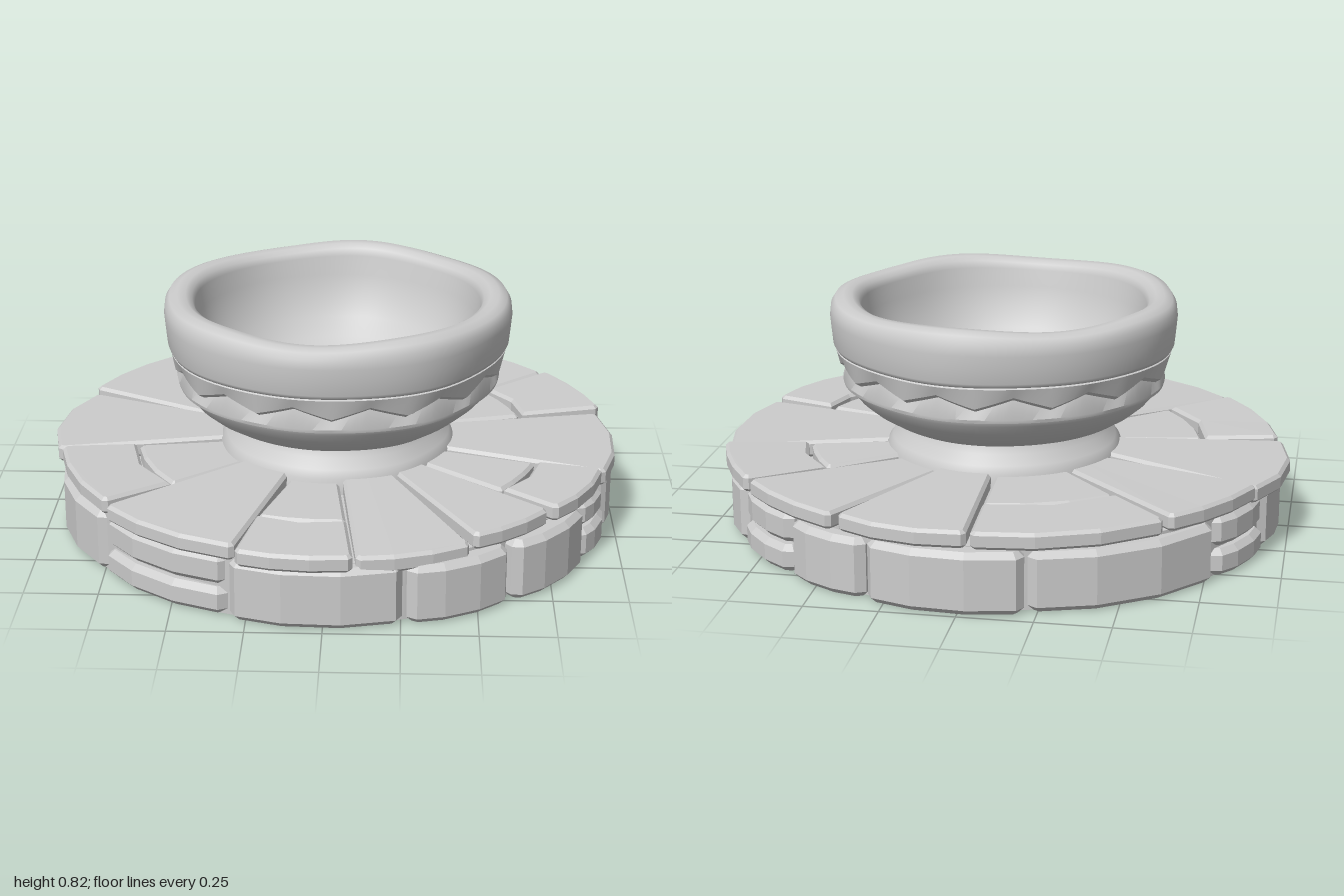
import * as THREE from 'three';
import { toCreasedNormals } from 'three/addons/utils/BufferGeometryUtils.js';

const RAD = Math.PI / 180;

// Surface made of closed rings; ring(i, a) gives [radius, height] at angle a.
// Rings run up the outside, over the edge and down the inside.
function ringSurface(count, ring, seg = 112) {
  const pos = [], idx = [];
  for (let i = 0; i < count; i++) {
    for (let j = 0; j < seg; j++) {
      const a = (j / seg) * Math.PI * 2;
      const [r, y] = ring(i, a);
      pos.push(r * Math.cos(a), y, r * Math.sin(a));
    }
  }
  for (let i = 0; i < count - 1; i++) {
    for (let j = 0; j < seg; j++) {
      const k = (j + 1) % seg;
      const a = i * seg + j, b = i * seg + k, c = a + seg, d = b + seg;
      idx.push(a, c, b, b, c, d);
    }
  }
  const g = new THREE.BufferGeometry();
  g.setAttribute('position', new THREE.Float32BufferAttribute(pos, 3));
  g.setIndex(idx);
  g.computeVertexNormals();
  return g;
}

// Bevelled wedge stone. a0/a1 are [outer, inner] angles in degrees.
function stone({ a0, a1, r0, r1, y0, y1, gap = 0.006, cut = 0.015, bevel = 0.012, bulge = 0, tilt = 0 }) {
  const pts = [];
  const add = (deg, r, side) => {
    const a = deg * RAD + (side * gap) / r;
    pts.push(new THREE.Vector2(r * Math.cos(a), -r * Math.sin(a)));
  };
  const span = a1[0] - a0[0];
  const c = (cut / r1) / RAD;
  add(a0[0], r1 - cut, 1);
  add(a0[0] + c, r1, 1);
  add(a0[0] + span * 0.36, r1 + bulge, 0);
  add(a0[0] + span * 0.68, r1 + bulge, 0);
  add(a1[0] - c, r1, -1);
  add(a1[0], r1 - cut, -1);
  add(a1[1], r0, -1);
  add((a0[1] + a1[1]) / 2, r0 + 0.015, 0);
  add(a0[1], r0, 1);
  const g = new THREE.ExtrudeGeometry(new THREE.Shape(pts), {
    depth: y1 - y0 - 2 * bevel, bevelEnabled: true, bevelThickness: bevel,
    bevelSize: bevel, bevelOffset: -bevel, bevelSegments: 1,
  });
  g.rotateX(-Math.PI / 2);
  g.translate(0, y0 + bevel, 0);
  const p = g.attributes.position;
  for (let i = 0; i < p.count; i++) {
    p.setY(i, p.getY(i) + tilt * (Math.hypot(p.getX(i), p.getZ(i)) - 0.75));
  }
  g.computeVertexNormals();
  return g;
}

export function createModel() {
  const model = new THREE.Group();
  const grey = new THREE.MeshStandardMaterial({ color: 0xcccccc });
  grey.name = 'stone grey';

  const add = (name, geometry, parent = model) => {
    const m = new THREE.Mesh(geometry, grey);
    m.name = name;
    parent.add(m);
    return m;
  };

  // Solid plinth core behind the joints
  const core = new THREE.CylinderGeometry(0.93, 0.93, 0.215, 48);
  add('plinthCore', toCreasedNormals(core, 0.6)).position.y = 0.1075;

  // Side blocks: [start angle, end angle, outer radius, split height or 0]
  const wall = new THREE.Group();
  wall.name = 'plinthWall';
  model.add(wall);
  [
    [12, 28, 0.98, 0.115], [28, 51, 0.99, 0], [51, 74, 0.98, 0], [74, 109, 0.97, 0],
    [109, 142, 0.955, 0.1], [142, 174, 0.955, 0], [174, 195, 0.955, 0], [195, 215, 0.96, 0.1],
    [215, 257, 0.965, 0], [257, 289, 0.985, 0], [289, 309, 0.975, 0], [309, 330, 0.975, 0.1],
    [330, 352, 0.98, 0], [352, 372, 0.982, 0],
  ].forEach(([s, e, r, split], i) => {
    const base = { a0: [s, s], a1: [e, e], r0: 0.82, cut: 0.028, bevel: 0.02, bulge: 0.012 };
    if (split) {
      add('lowerBlock', stone({ ...base, r1: r, y0: 0.002, y1: split - 0.004 }), wall);
      add('upperBlock', stone({ ...base, r1: r - 0.008, y0: split + 0.004, y1: 0.21 }), wall);
    } else {
      add('block', stone({ ...base, r1: r, y0: 0, y1: 0.204 + 0.008 * (i % 2) }), wall);
    }
  });

  // Paving slabs: [outer angle, inner angle, radius, bulge, top, tilt, split radius or 0]
  // Each slab runs to the next entry's angles.
  const paving = new THREE.Group();
  paving.name = 'paving';
  model.add(paving);
  const slabs = [
    [-92, -92, 0.975, 0.015, 0.28, 0.0, 0],
    [-64.5, -64.5, 0.998, 0.0, 0.277, 0.03, 0],
    [-38, -37.5, 1.008, 0.0, 0.285, 0.02, 0.715],
    [-14.5, -16, 0.992, 0.012, 0.275, -0.02, 0],
    [17.5, 19, 0.985, 0.01, 0.283, 0.02, 0.76],
    [40, 38.5, 0.965, 0.005, 0.278, 0.0, 0],
    [60, 56, 0.96, 0.005, 0.258, -0.05, 0],
    [84, 84, 0.992, 0.006, 0.268, 0.0, 0.72],
    [107, 111, 0.965, 0.005, 0.274, -0.02, 0],
    [140, 139, 0.96, 0.0, 0.278, 0.02, 0.7],
    [171, 171, 0.975, 0.025, 0.274, -0.02, 0],
    [203, 200, 0.985, 0.003, 0.282, 0.03, 0],
    [229, 230, 0.972, 0.01, 0.277, 0.0, 0.7],
  ];
  slabs.forEach(([o, inn, r, bulge, top, tilt, split], i) => {
    const n = i + 1 < slabs.length ? slabs[i + 1] : [268, 268];
    const base = { y0: top - 0.06, y1: top, tilt, bevel: 0.011 };
    const at = (t, k) => (k ? [n[0] + (n[1] - n[0]) * t, n[1]] : [o + (inn - o) * t, inn]);
    const mid = split ? (r - split) / (r - 0.45) : 1;
    const inner = k => [at(0, k)[0], at(mid, k)[0]];
    add('slab', stone({ ...base, a0: inner(0), a1: inner(1), r0: split || 0.33, r1: r, bulge }), paving);
    if (split) {
      add('innerSlab', stone({
        ...base, y0: 0.2, y1: top - 0.008, tilt: 0,
        a0: at(mid, 0), a1: at(mid, 1), r0: 0.33, r1: split - 0.012, cut: 0.01,
      }), paving);
    }
  });

  // Bowl: a hand-shaped round with a gentle wobble
  const bowl = new THREE.Group();
  bowl.name = 'bowl';
  bowl.position.set(0.016, 0, -0.006);
  model.add(bowl);
  const wave = a => Math.cos(5 * (a - 98 * RAD));
  const wobble = a => 1.004 - 0.006 * wave(a) + 0.004 * Math.sin(8 * a) + 0.004 * Math.cos(2 * a + 1.6);
  const turned = profile => ringSurface(profile.length, (i, a) => {
    const [r, y, lift = 0] = profile[i];
    return [r * wobble(a), y - lift * (wave(a) + 0.5 * Math.cos(3 * a + 1))];
  });

  // Flared foot
  add('foot', turned([[0.42, 0.22], [0.415, 0.275], [0.395, 0.3], [0.37, 0.335], [0.355, 0.365], [0.35, 0.39]]), bowl);

  // Underside of the bowl
  add('bowlBase', turned([
    [0.3, 0.355], [0.36, 0.36], [0.41, 0.378], [0.465, 0.412], [0.51, 0.45], [0.542, 0.488], [0.552, 0.515], [0.55, 0.53],
  ]), bowl);

  // Carved band with a zigzag step
  const zig = a => {
    const t = ((a / (Math.PI * 2)) * 14) % 1;
    return 0.545 + 0.04 * Math.abs(2 * t - 1);
  };
  const band = ringSurface(7, (i, a) => {
    const z = zig(a);
    const [r, y] = [
      [0.54, 0.502], [0.564, 0.506], [0.567, 0.518], [0.556, z],
      [0.576, z + 0.013], [0.59, 0.63], [0.57, 0.642],
    ][i];
    return [r * wobble(a), y];
  });
  add('zigzagBand', toCreasedNormals(band, 0.5), bowl);

  // Thick rim and rounded hollow inside
  add('rimAndInside', turned([
    [0.565, 0.634], [0.59, 0.636], [0.598, 0.65], [0.603, 0.7], [0.607, 0.745, 0.001],
    [0.603, 0.78, 0.003], [0.588, 0.803, 0.005], [0.56, 0.813, 0.006], [0.53, 0.811, 0.006],
    [0.508, 0.798, 0.005], [0.498, 0.775, 0.003], [0.488, 0.71], [0.466, 0.635], [0.43, 0.565],
    [0.38, 0.505], [0.31, 0.453], [0.22, 0.414], [0.11, 0.392], [0, 0.385],
  ]), bowl);

  return model;
}
